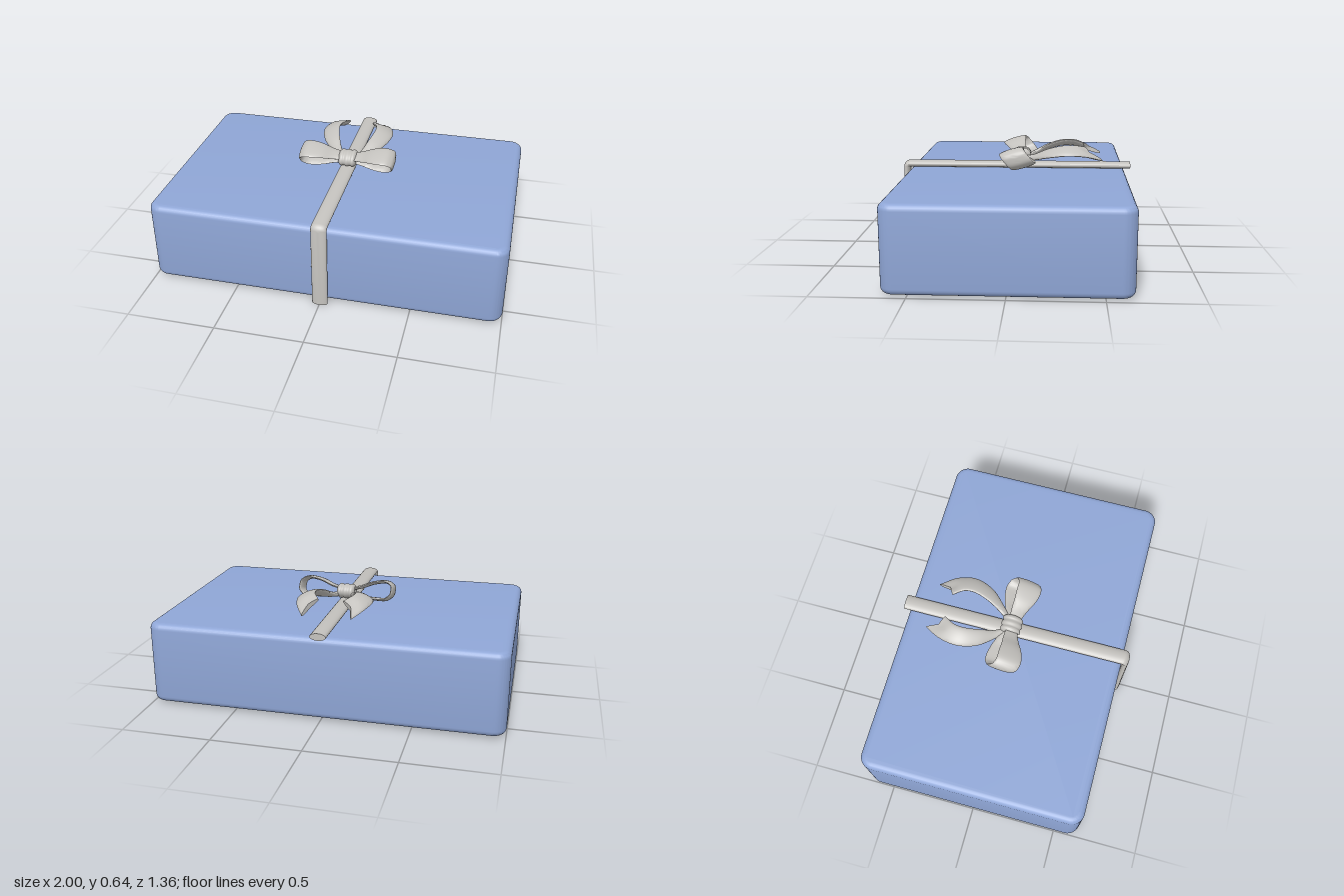
import * as THREE from 'three';
import { toCreasedNormals } from 'three/addons/utils/BufferGeometryUtils.js';

const V = (x, y, z) => new THREE.Vector3(x, y, z);
const lerp = THREE.MathUtils.lerp;

// Solid ribbon with a lens-shaped section. point(s, u): s runs along it, u in -1..1 across it.
function ribbonGeometry(point, halfThick, rows, sides = 20) {
  const pos = [], idx = [];
  for (let i = 0; i <= rows; i++) {
    const s = i / rows;
    const t = point(Math.min(1, s + 1e-3), 0).sub(point(Math.max(0, s - 1e-3), 0));
    const n = t.cross(point(s, 1).sub(point(s, -1))).normalize();
    for (let j = 0; j < sides; j++) {
      const a = (j / sides) * Math.PI * 2;
      const p = point(s, Math.cos(a)).addScaledVector(n, Math.sin(a) * halfThick);
      pos.push(p.x, p.y, p.z);
    }
  }
  for (let i = 0; i < rows; i++) for (let j = 0; j < sides; j++) {
    const k = (j + 1) % sides, a = i * sides + j, b = i * sides + k;
    idx.push(a, b, a + sides, b, b + sides, a + sides);
  }
  // end caps, joined straight across the thickness
  const last = rows * sides;
  for (let j = 0; j < sides / 2; j++) {
    const k = j + 1, m = (sides - j) % sides, l = sides - k;
    idx.push(j, m, l, j, l, k);
    idx.push(last + j, last + l, last + m, last + j, last + k, last + l);
  }
  const g = new THREE.BufferGeometry();
  g.setAttribute('position', new THREE.Float32BufferAttribute(pos, 3));
  g.setIndex(idx);
  return toCreasedNormals(g, 0.8);
}

// Rounded box lying flat
function boxGeometry(w, h, d, corner, bevel) {
  const x = w / 2 - bevel, y = d / 2 - bevel, r = corner - bevel;
  const s = new THREE.Shape();
  s.absarc(x - r, y - r, r, 0, Math.PI / 2);
  s.absarc(-x + r, y - r, r, Math.PI / 2, Math.PI);
  s.absarc(-x + r, -y + r, r, Math.PI, Math.PI * 1.5);
  s.absarc(x - r, -y + r, r, Math.PI * 1.5, Math.PI * 2);
  const g = new THREE.ExtrudeGeometry(s, {
    depth: h - 2 * bevel, bevelEnabled: true, bevelSize: bevel,
    bevelThickness: bevel, bevelSegments: 6, curveSegments: 8,
  });
  g.rotateX(-Math.PI / 2).translate(0, bevel, 0);
  return toCreasedNormals(g, 0.6);
}

// Band up the front, round the edge and along the lid
function bandPoint(s, u) {
  const k = s * 10, x = 0.045 * u;
  if (k < 1) return V(x, 0.48 * k, 0.66);
  if (k > 9) return V(x, 0.5, lerp(0.64, -0.68, k - 9));
  const a = ((k - 1) / 8) * Math.PI / 2;
  return V(x, 0.48 + 0.02 * Math.sin(a), 0.64 + 0.02 * Math.cos(a));
}

// Bow loop: path as (x, height), leaning back and widening away from the knot
const loopPath = new THREE.CatmullRomCurve3([
  [0.02, 0.2], [0.09, 0.42], [0.16, 0.78], [0.225, 0.9], [0.264, 0.65], [0.275, 0.1],
  [0.262, -0.55], [0.22, -0.85], [0.15, -0.75], [0.09, -0.5], [0.02, -0.25],
].map(([x, h]) => V(x, h, 0)));
const loopPoint = side => (s, u) => {
  const p = loopPath.getPoint(s), f = THREE.MathUtils.smoothstep(p.x, 0.02, 0.22);
  const w = u * lerp(0.5, 1, f);
  return V(side * p.x, lerp(0.562, 0.572, f) + 0.05 * p.y + 0.021 * w,
    lerp(-0.03, -0.02, f) + 0.042 * p.y - 0.068 * w);
};

// Bow tail: strip between an inner and an outer edge, notched at its end
const edge = pts => new THREE.CatmullRomCurve3(pts.map(p => V(...p)));
const innerEdge = edge([[0.01, 0.55, -0.05], [0.055, 0.565, -0.11], [0.09, 0.605, -0.19],
  [0.112, 0.63, -0.28], [0.107, 0.632, -0.34], [0.07, 0.618, -0.405]]);
const outerEdge = edge([[0.03, 0.54, -0.03], [0.1, 0.545, -0.1], [0.18, 0.57, -0.19],
  [0.215, 0.588, -0.3], [0.195, 0.58, -0.41], [0.138, 0.55, -0.51]]);
const tailPoint = side => (s, u) => {
  const p = innerEdge.getPoint(s).lerp(outerEdge.getPoint(s), (u + 1) / 2);
  const notch = (1 - Math.abs(u)) * THREE.MathUtils.smoothstep(s, 0.75, 1);
  p.x += 0.012 * notch;
  p.z += 0.03 * notch;
  p.x *= side;
  return p;
};

export function createModel() {
  const model = new THREE.Group();
  const blue = new THREE.MeshStandardMaterial({ color: 0x8fa6d6 });
  blue.name = 'box blue';
  const grey = new THREE.MeshStandardMaterial({ color: 0xc4c2be });
  grey.name = 'ribbon grey';
  const add = (name, geometry, material, parent = model) => {
    const m = new THREE.Mesh(geometry, material);
    m.name = name;
    parent.add(m);
    return m;
  };

  add('box', boxGeometry(2, 0.47, 1.29, 0.075, 0.035), blue).position.set(0, 0.01, -0.005);
  add('ribbonBand', ribbonGeometry(bandPoint, 0.02, 10), grey);

  const bow = new THREE.Group();
  bow.name = 'bow';
  model.add(bow);
  for (const [side, label] of [[1, 'left'], [-1, 'right']]) {
    add(label + 'Loop', ribbonGeometry(loopPoint(side), 0.01, 48), grey, bow);
    add(label + 'Tail', ribbonGeometry(tailPoint(side), 0.014, 32), grey, bow);
  }

  // Knot: pleated barrel lying across the bow
  const profile = new THREE.SplineCurve([
    [0.001, -0.045], [0.6, -0.052], [0.92, -0.042], [0.98, -0.03], [0.9, -0.018], [1, 0],
    [0.9, 0.018], [0.98, 0.03], [0.92, 0.042], [0.6, 0.052], [0.001, 0.045],
  ].map(p => new THREE.Vector2(...p))).getPoints(40);
  const knotGeometry = new THREE.LatheGeometry(profile, 32);
  knotGeometry.rotateZ(Math.PI / 2).scale(1, 0.044, 0.061).rotateX(0.2);
  add('knot', knotGeometry, grey, bow).position.set(0, 0.56, -0.03);

  return model;
}
